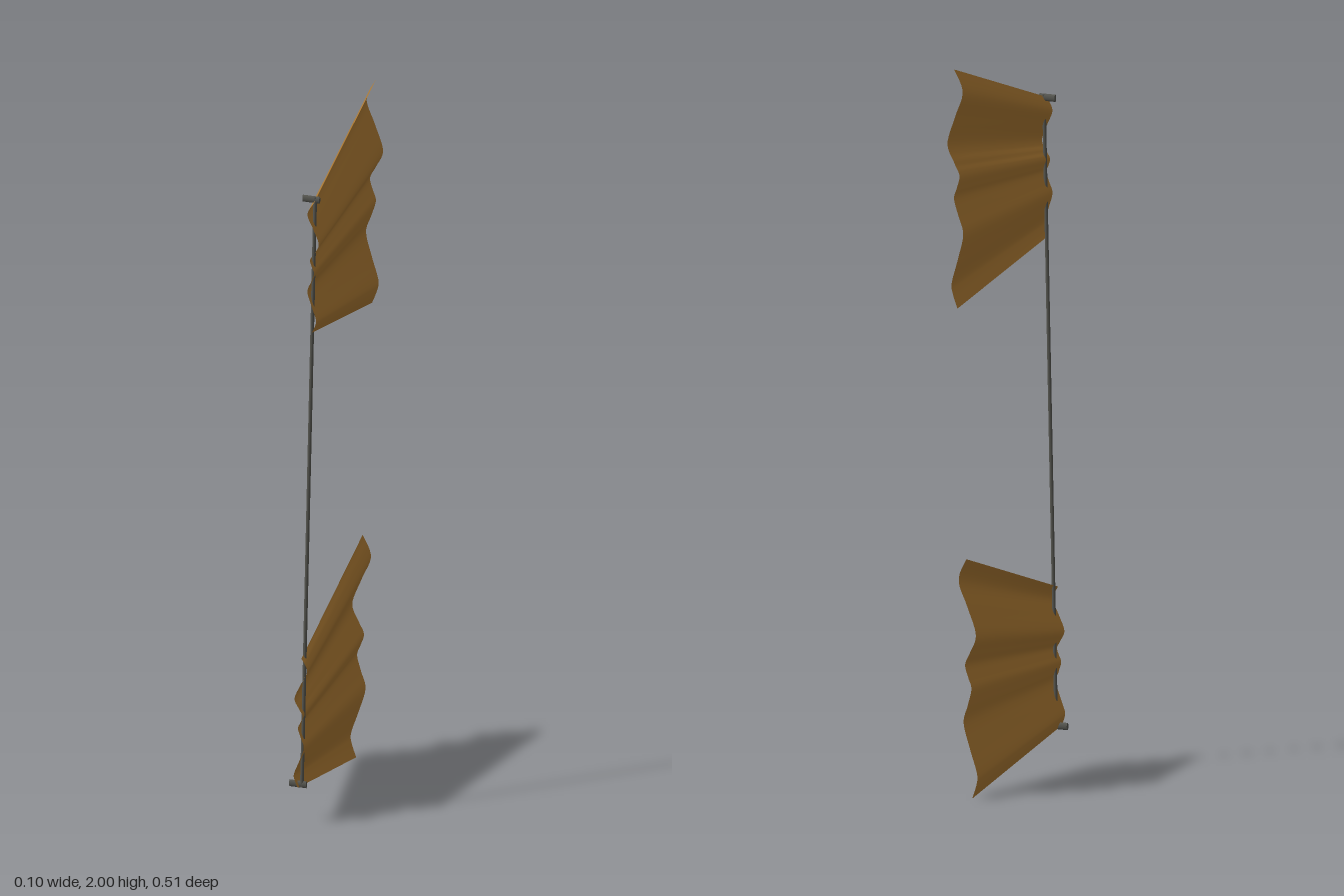
import * as THREE from 'three';

// Slightly leaning centre line shared by the rod and both vanes
const leanX = (y) => (y - 0.93) * 0.022;
const ROD_Z = 0.233;

// Ripple across a vane: sideways offset against height at the wide rear edge
const ripple = new THREE.SplineCurve([
  [0.004, 0.66], [-0.021, 0.6], [0.004, 0.53], [0.029, 0.455], [0.01, 0.405],
  [-0.006, 0.37], [0.003, 0.335], [0.012, 0.305], [0, 0.26], [-0.014, 0.21],
  [0.004, 0.14], [0.024, 0.075], [0.022, 0.045], [0.008, 0.005],
].map(([x, y]) => new THREE.Vector2(x, y)));

// Corrugated vane, tapering from the wide rear edge to the narrow front edge
function createVane(name, lift, side, material) {
  const geometry = new THREE.PlaneGeometry(1, 1, 4, 72);
  const pos = geometry.attributes.position;
  for (let i = 0; i < pos.count; i++) {
    const t = pos.getX(i) + 0.5; // 0 at the rear, 1 at the front
    const p = ripple.getPoint(0.5 - pos.getY(i));
    const h = (p.y - 0.005) / 0.655;
    const y = lift + THREE.MathUtils.lerp(0.005 + h * 0.655, 0.122 + h * 0.38, t);
    const x = leanX(y) + side * p.x * THREE.MathUtils.lerp(1, 0.68, t);
    pos.setXYZ(i, x, y, THREE.MathUtils.lerp(-0.255, 0.253, t));
  }
  geometry.computeVertexNormals();
  const vane = new THREE.Mesh(geometry, material);
  vane.name = name;
  return vane;
}

export function createModel() {
  const model = new THREE.Group();
  model.name = 'rippledVanesOnRod';

  const bronze = new THREE.MeshStandardMaterial({ color: 0xb07c34, side: THREE.DoubleSide });
  bronze.name = 'bronze brown';
  const steel = new THREE.MeshStandardMaterial({ color: 0x55554f });
  steel.name = 'dark grey';

  // The lower vane ripples the opposite way
  model.add(createVane('upperVane', 1.34, 1, bronze));
  model.add(createVane('lowerVane', 0, -1, bronze));

  // Rod joining the two vanes
  const bottom = new THREE.Vector3(leanX(0.117), 0.117, ROD_Z);
  const top = new THREE.Vector3(leanX(1.853), 1.853, ROD_Z);
  const rod = new THREE.Mesh(
    new THREE.TubeGeometry(new THREE.LineCurve3(bottom, top), 1, 0.005, 10), steel);
  rod.name = 'rod';
  model.add(rod);

  // Short cross pegs at the rod ends
  for (const [name, y] of [['upperPeg', 1.845], ['lowerPeg', 0.125]]) {
    const geometry = new THREE.CylinderGeometry(0.005, 0.005, 0.048, 12);
    geometry.rotateZ(Math.PI / 2).scale(1, 2, 1);
    const peg = new THREE.Mesh(geometry, steel);
    peg.name = name;
    peg.position.set(leanX(y) - 0.011, y, ROD_Z);
    model.add(peg);
  }
  return model;
}
